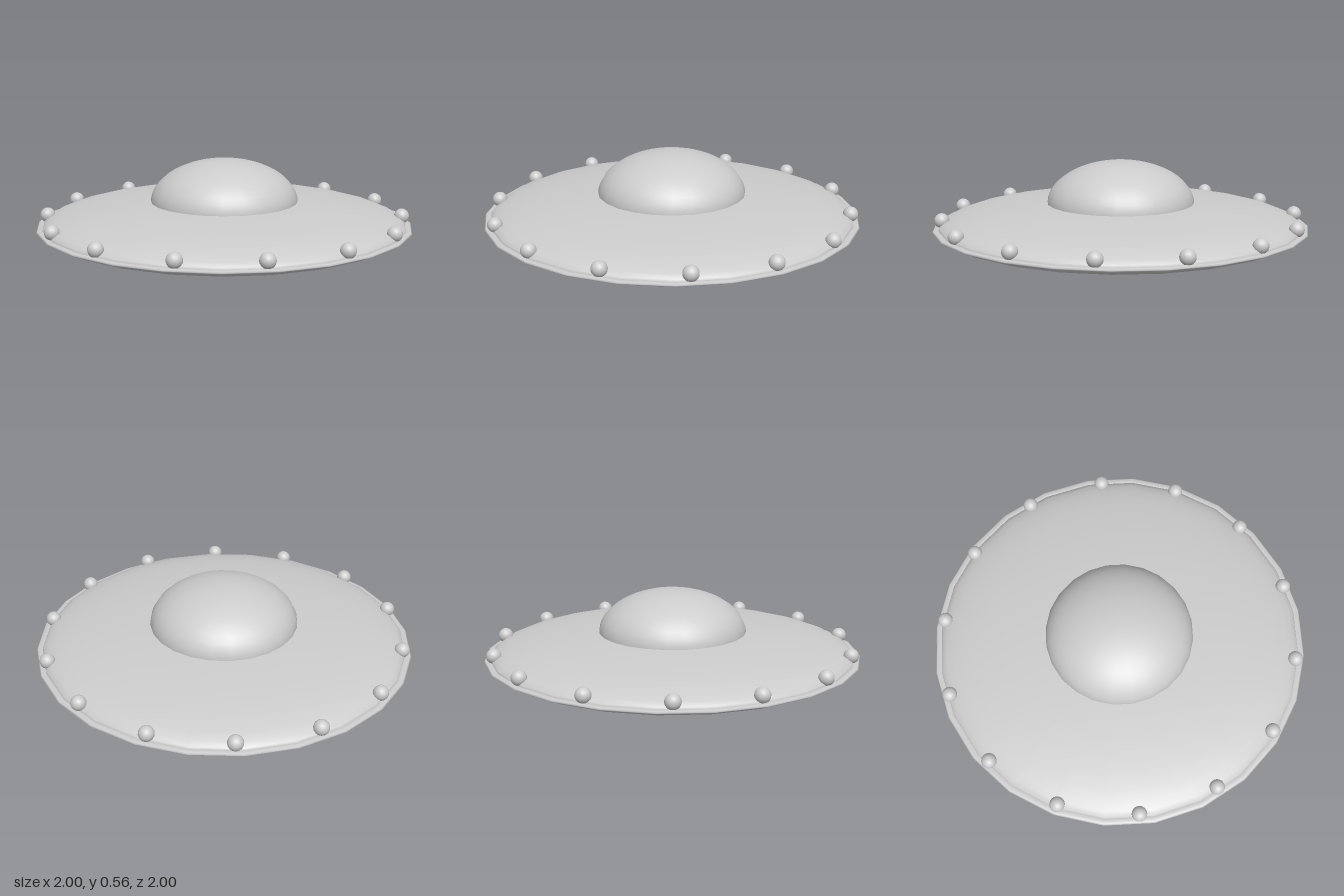
import * as THREE from 'three';

export function createModel() {
  const saucer = new THREE.Group();
  saucer.name = 'flyingSaucer';
  const grey = new THREE.MeshStandardMaterial({ color: 0xcccccc });
  grey.name = 'lightGrey';

  const add = (name, geometry, y) => {
    const mesh = new THREE.Mesh(geometry, grey);
    mesh.name = name;
    mesh.position.y = y;
    saucer.add(mesh);
    return mesh;
  };

  // Half ellipsoid: dir 1 bulges up, -1 bulges down
  const cap = (radius, height, dir) =>
    new THREE.SphereGeometry(1, 24, 12, 0, Math.PI * 2, dir > 0 ? 0 : Math.PI / 2, Math.PI / 2)
      .scale(radius, height, radius);

  // Disc hull
  add('upperHull', cap(0.97, 0.136, 1), 0.212);
  add('lowerHull', cap(0.97, 0.111, -1), 0.212);

  // Flattened rim ring
  add('rim', new THREE.TorusGeometry(0.975, 0.024, 8, 24).rotateX(Math.PI / 2).scale(1, 0.35, 1), 0.213);

  // Cockpit dome, belly bulge and small cap under it
  add('dome', cap(0.393, 0.23, 1), 0.329);
  add('belly', cap(0.44, 0.104, -1), 0.119);
  add('bellyCap', cap(0.16, 0.04, -1), 0.04);

  // Ring of lamps around the edge
  const lampGeometry = new THREE.SphereGeometry(0.04, 16, 12);
  const lampCount = 14;
  for (let i = 0; i < lampCount; i++) {
    const a = (i / lampCount) * Math.PI * 2;
    const lamp = add('lamp' + (i + 1), lampGeometry, 0.253);
    lamp.position.x = Math.cos(a) * 0.948;
    lamp.position.z = Math.sin(a) * 0.948;
  }

  return saucer;
}
